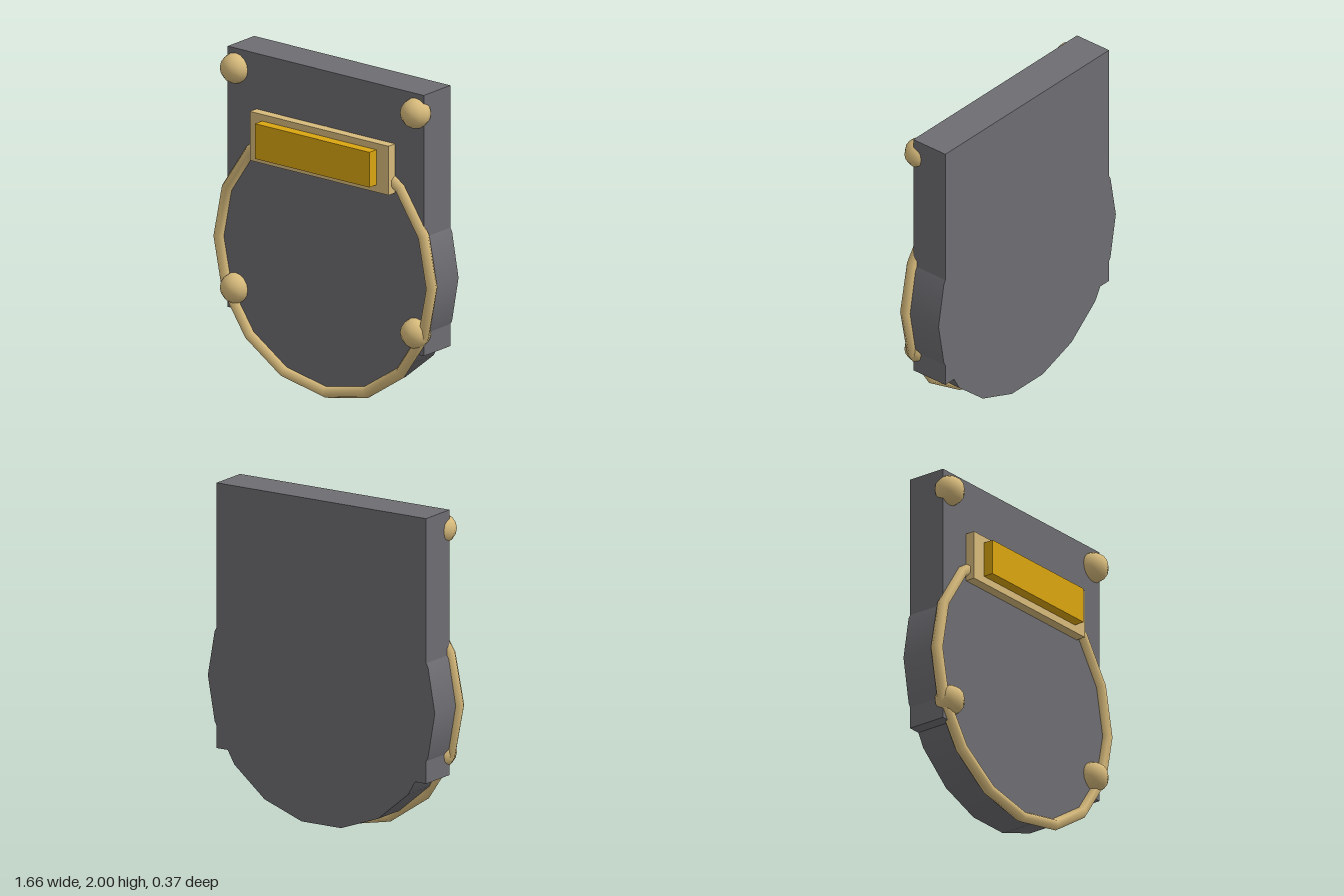
import * as THREE from 'three';

const BACK = -0.185, FACE = 0.06, DISC_Y = 0.835;

export function createModel() {
  const model = new THREE.Group();
  model.name = 'wallPlaque';
  const stone = new THREE.MeshStandardMaterial({ color: 0x6e6d72 });
  const brass = new THREE.MeshStandardMaterial({ color: 0xd8bb7c });
  const gold = new THREE.MeshStandardMaterial({ color: 0xdaa510 });

  const add = (name, geometry, material, x, y, z) => {
    const mesh = new THREE.Mesh(geometry, material);
    mesh.name = name;
    mesh.position.set(x, y, z);
    model.add(mesh);
    return mesh;
  };
  // Box given by width, vertical span and depth span
  const slab = (name, material, width, y0, y1, z0, z1) =>
    add(name, new THREE.BoxGeometry(width, y1 - y0, z1 - z0), material, 0, (y0 + y1) / 2, (z0 + z1) / 2);

  // Square upper body
  slab('backPlate', stone, 1.47, 0.405, 2, BACK, FACE);

  // Rounded lower body: 18 sides, with corners at the far left and right
  const disc = new THREE.CylinderGeometry(0.796, 0.796, FACE - BACK, 18);
  disc.rotateY(Math.PI / 2).rotateX(Math.PI / 2);
  add('roundBody', disc, stone, 0, DISC_Y, (FACE + BACK) / 2);

  // Rim ring on the front face
  add('rimRing', new THREE.TorusGeometry(0.797, 0.035, 6, 16), brass, 0, 0.832, 0.0625);

  // Name panel running through the body, with a raised insert
  slab('panelFrame', brass, 1.04, 1.36, 1.66, BACK + 0.001, 0.12);
  slab('panelInsert', gold, 0.855, 1.405, 1.62, 0.06, 0.184);

  // Corner studs
  const stud = new THREE.SphereGeometry(0.091, 10, 8);
  for (const x of [-0.675, 0.675]) {
    for (const y of [0.535, 1.88]) add('cornerStud', stud, brass, x, y, 0.0625);
  }
  return model;
}
